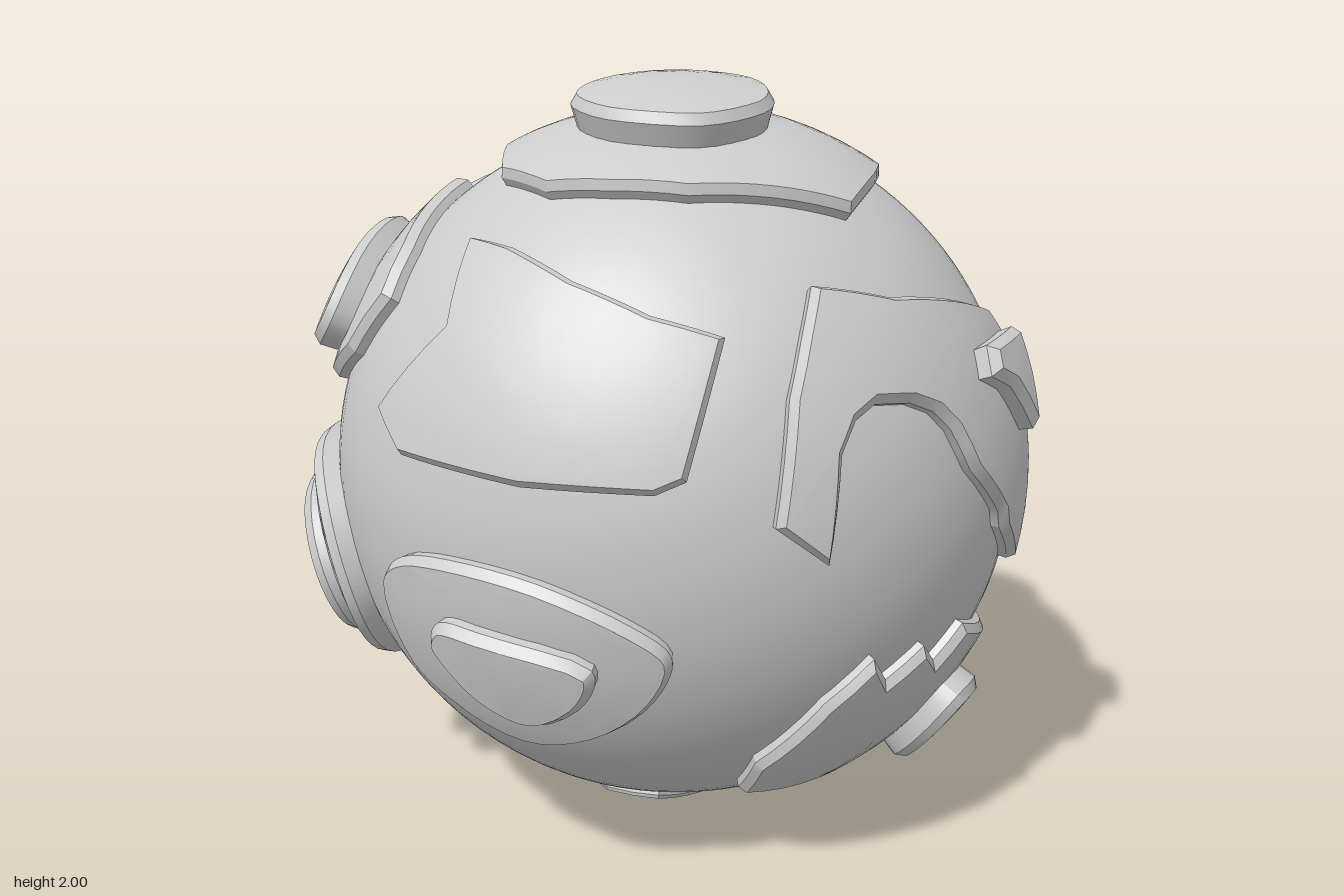
import * as THREE from 'three';
import { toCreasedNormals } from 'three/addons/utils/BufferGeometryUtils.js';

const R = 0.93;
const CENTRE = new THREE.Vector3(0, 0.948, 0.015);
const material = new THREE.MeshStandardMaterial({ color: 0xcccccc });

// Directions from which plate outlines are laid out: [azimuth, elevation] in degrees
const FRONT = [0, 0], RIGHT = [90, 0], BACK = [180, 0], TOP = [0, 90], BOTTOM = [0, -90], BACK_LEFT = [215, 27];

// Outline points (u right, v up) are dropped on the ball along the given direction
function dropOnBall([az, el], outline, r) {
  const a = THREE.MathUtils.degToRad(az), e = THREE.MathUtils.degToRad(el);
  const right = new THREE.Vector3(Math.cos(a), 0, -Math.sin(a));
  const fwd = new THREE.Vector3(Math.sin(a) * Math.cos(e), Math.sin(e), Math.cos(a) * Math.cos(e));
  const up = fwd.clone().cross(right);
  return outline.map(([u, v]) => new THREE.Vector3()
    .addScaledVector(right, u).addScaledVector(up, v)
    .addScaledVector(fwd, Math.sqrt(Math.max(0, r * r - u * u - v * v))).normalize());
}

// Halve the longest edge until every triangle is small enough to follow the ball
function refine(a, b, c, out) {
  const ab = a.distanceToSquared(b), bc = b.distanceToSquared(c), ca = c.distanceToSquared(a);
  const longest = Math.max(ab, bc, ca);
  if (longest < 0.01) {
    out.push(a, b, c);
  } else if (ab === longest) {
    const m = a.clone().add(b).multiplyScalar(0.5);
    refine(a, m, c, out);
    refine(m, b, c, out);
  } else if (bc === longest) {
    refine(b, c, a, out);
  } else {
    refine(c, a, b, out);
  }
}

// A bevelled slab wrapped around the ball, its top at radius R + h
function plate(name, view, h, outline, round = false) {
  let dirs = dropOnBall(view, outline, R + h);
  if (round) {
    dirs = new THREE.CatmullRomCurve3(dirs, true).getPoints(outline.length * 4).slice(0, -1);
  }
  const n = dirs.reduce((s, d) => s.add(d), new THREE.Vector3()).normalize();
  const t = new THREE.Vector3(0.31, 0.9, 0.2).cross(n).normalize();
  const b = n.clone().cross(t);
  const flat = dirs.map(d => new THREE.Vector2(d.dot(t) / d.dot(n), d.dot(b) / d.dot(n)));
  const bevel = Math.min(0.022, h * 0.5), base = -0.05;
  const slab = new THREE.ExtrudeGeometry(new THREE.Shape(flat), {
    depth: h - base - 2 * bevel, steps: 1, bevelEnabled: true,
    bevelThickness: bevel, bevelSize: bevel, bevelOffset: -bevel, bevelSegments: 1,
  }).translate(0, 0, base + bevel);

  const pos = slab.getAttribute('position'), tris = [];
  for (let i = 0; i < pos.count; i += 3) {
    const [p, q, s] = [0, 1, 2].map(k => new THREE.Vector3().fromBufferAttribute(pos, i + k));
    if (Math.max(p.z, q.z, s.z) > base + 1e-4) refine(p, q, s, tris);
  }
  const wrapped = tris.map(p => n.clone().addScaledVector(t, p.x).addScaledVector(b, p.y)
    .normalize().multiplyScalar(R + p.z));
  const geometry = toCreasedNormals(new THREE.BufferGeometry().setFromPoints(wrapped), 0.45);
  const mesh = new THREE.Mesh(geometry, material);
  mesh.name = name;
  return mesh;
}

export function createModel() {
  const model = new THREE.Group();
  model.name = 'platedBall';
  const ball = new THREE.Mesh(new THREE.SphereGeometry(R, 96, 64), material);
  ball.name = 'ball';
  model.add(ball);

  model.add(
    // Front
    plate('frontPlate', FRONT, 0.035, [[-.05, .68], [.1, .67], [.3, .61], [.49, .545], [.63, .5], [.65, .2],
      [.6, .17], [.33, .17], [-.03, .19], [-.15, .28], [.02, .49]]),
    plate('frontOvalPlate', FRONT, 0.045, [[-.1, -.13], [-.02, -.06], [.14, -.03], [.38, -.05], [.57, -.14],
      [.63, -.22], [.57, -.35], [.41, -.48], [.22, -.53], [.03, -.45], [-.07, -.36]], true),
    plate('frontOvalBoss', FRONT, 0.09, [[.1, -.24], [.14, -.18], [.25, -.18], [.51, -.24], [.48, -.33],
      [.33, -.43], [.21, -.39], [.13, -.3]], true),

    // Front, towards -x
    plate('upperSidePlate', FRONT, 0.045, [[-.27, .52], [-.31, .64], [-.47, .78], [-.63, .7], [-.82, .45],
      [-.93, .2], [-.75, .24], [-.56, .27], [-.39, .37]]),
    plate('upperSideBoss', FRONT, 0.115, [[-.8, .46], [-.8, .58], [-.71, .66], [-.61, .66], [-.49, .56],
      [-.49, .44], [-.59, .36], [-.71, .37]], true),
    plate('lowerSidePlate', FRONT, 0.065, [[-.9, .02], [-.66, .08], [-.47, 0], [-.38, -.16], [-.36, -.32],
      [-.43, -.48], [-.58, -.59], [-.72, -.56], [-.91, -.25]], true),
    plate('lowerSideBoss', FRONT, 0.115, [[-.91, -.07], [-.8, -.05], [-.66, -.11], [-.55, -.27], [-.55, -.43],
      [-.66, -.53], [-.8, -.45], [-.94, -.27]], true),

    // Back, towards -x
    plate('rearUpperPlate', BACK_LEFT, 0.045, [[-.05, .21], [.1, .35], [.24, .46], [.42, .57], [.62, .6],
      [.76, .47], [.86, .2], [.75, -.05], [.4, -.09]]),
    plate('rearUpperBoss', BACK_LEFT, 0.095, [[.17, .21], [.21, .375], [.52, .457], [.56, .39], [.51, .24],
      [.59, .13], [.72, -.03], [.56, -.06], [.36, .07]], true),
    plate('rearLowerPlate', BACK_LEFT, 0.05, [[.39, -.1], [.445, -.2], [.33, -.48], [.07, -.74], [-.11, -.885],
      [.2, -.94], [.5, -.83], [.66, -.66], [.75, -.35], [.82, .02], [.6, -.04]]),
    plate('rearLowerBoss', BACK_LEFT, 0.1, [[.22, -.98], [.26, -.78], [.45, -.72], [.65, -.78], [.42, -.94]]),

    // Back
    plate('backPlate', BACK, 0.04, [[-.38, .3], [-.27, .45], [-.2, .52], [.25, .29], [.15, .19], [.34, -.33],
      [.07, -.64], [-.23, -.48], [-.36, -.11]]),
    plate('backRidge', BACK, 0.09, [[-.22, .42], [-.05, .42], [-.05, .2], [.07, .03], [.28, -.33], [.07, -.56],
      [-.16, -.4], [-.28, -.05], [-.32, .3]], true),

    // Side towards +x
    plate('archPlate', RIGHT, 0.043, [[-.44, -.01], [-.55, .09], [-.47, .37], [-.39, .5], [-.31, .6], [-.12, .56],
      [.3, .48], [.37, .4], [.4, .29], [.4, .08], [.33, -.19], [.17, -.05], [.15, 0], [0, .14], [-.06, .25],
      [-.11, .3], [-.18, .33], [-.28, .34], [-.34, .31], [-.39, .24]]),
    plate('archBoss', RIGHT, 0.1, [[.08, .36], [.1, .43], [.32, .44], [.32, .32], [.29, .19], [.17, .32]]),
    plate('notchedPlate', RIGHT, 0.04, [[-.42, -.59], [-.36, -.4], [-.27, -.29], [-.2, -.37], [-.1, -.3],
      [-.02, -.37], [.07, -.29], [.52, -.44], [.41, -.67], [.3, -.75], [-.12, -.76], [-.36, -.72]]),
    plate('notchedBoss', RIGHT, 0.11, [[.07, -.64], [.12, -.52], [.28, -.53], [.32, -.64], [.2, -.77],
      [.11, -.75]], true),

    // Top and bottom
    plate('topPlate', TOP, 0.045, [[-.18, .57], [.16, .57], [.31, .48], [.43, .35], [.54, .17], [.63, -.06],
      [.4, -.4], [.24, -.5], [.08, -.56], [-.13, -.52], [-.3, -.35], [-.31, -.11], [-.22, .15]]),
    plate('topDisc', TOP, 0.125, [[.15, .11], [.32, .02], [.39, -.11], [.35, -.3], [.14, -.41], [-.05, -.35],
      [-.11, -.19], [-.02, 0]], true),
    plate('bottomPlate', BOTTOM, 0.018, [[-.14, .1], [-.1, -.2], [.03, -.36], [.15, -.3], [.24, 0], [.26, .36],
      [.1, .4], [-.08, .3]]),
  );

  model.children.forEach(part => part.position.copy(CENTRE));
  return model;
}
